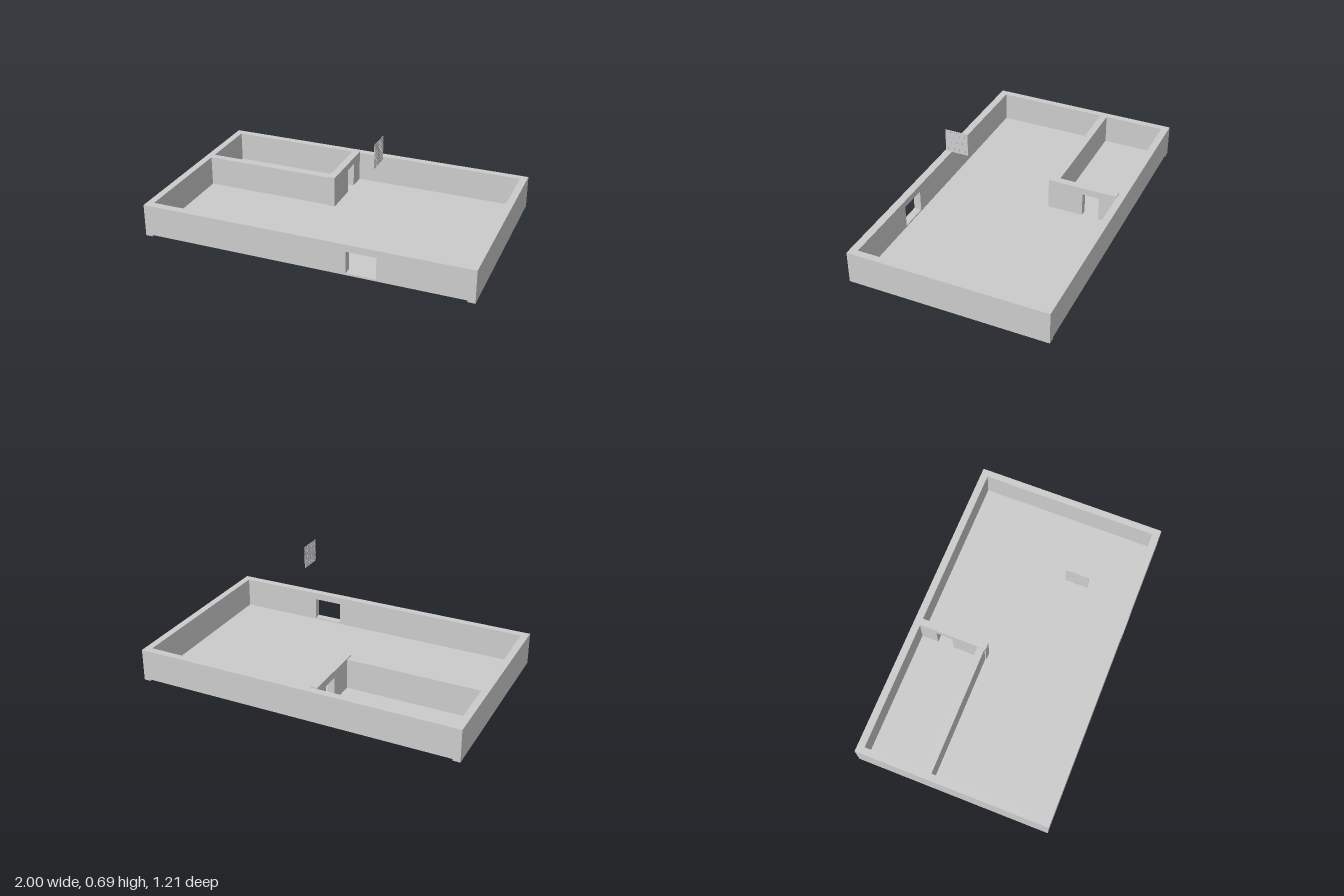
import * as THREE from 'three';

const material = new THREE.MeshStandardMaterial({ color: 0xcccccc, flatShading: true });

// Box given by its min and max corners
function block(name, [x0, y0, z0], [x1, y1, z1]) {
  const geometry = new THREE.BoxGeometry(x1 - x0, y1 - y0, z1 - z0);
  geometry.translate((x0 + x1) / 2, (y0 + y1) / 2, (z0 + z1) / 2);
  const mesh = new THREE.Mesh(geometry, material);
  mesh.name = name;
  return mesh;
}

// Wall drawn as a length/height outline with one rectangular opening, extruded by its thickness
function wallWithOpening(name, [u0, v0, u1, v1], [a0, b0, a1, b1], thickness) {
  const shape = new THREE.Shape();
  if (b0 <= v0) {
    // Doorway: the opening reaches the floor
    [[u0, v0], [a0, v0], [a0, b1], [a1, b1], [a1, v0], [u1, v0], [u1, v1], [u0, v1]]
      .forEach(([u, v], i) => (i ? shape.lineTo(u, v) : shape.moveTo(u, v)));
    shape.closePath();
  } else {
    shape.moveTo(u0, v0).lineTo(u1, v0).lineTo(u1, v1).lineTo(u0, v1).closePath();
    shape.holes.push(new THREE.Path().moveTo(a0, b0).lineTo(a0, b1).lineTo(a1, b1).lineTo(a1, b0).closePath());
  }
  const geometry = new THREE.ExtrudeGeometry(shape, { depth: thickness, bevelEnabled: false });
  const mesh = new THREE.Mesh(geometry, material);
  mesh.name = name;
  return mesh;
}

// Small upright panel of staggered bricks
function brickPanel() {
  const panel = new THREE.Group();
  panel.name = 'brickPanel';
  const size = 0.14, rows = 9, columns = 4, gap = 0.003;
  const rowHeight = size / rows, length = size / columns;
  panel.add(block('mortar', [-0.0005, 0, 0], [0.0005, size, size]));
  for (let r = 0; r < rows; r++) {
    const shift = r % 2 ? -length / 2 : 0;
    for (let c = 0; c <= columns; c++) {
      const z0 = Math.max(0, c * length + shift);
      const z1 = Math.min(size, (c + 1) * length + shift - gap);
      if (z1 - z0 < 0.004) continue;
      panel.add(block('brick', [-0.002, r * rowHeight, z0], [0.002, (r + 1) * rowHeight - gap, z1]));
    }
  }
  panel.position.set(0.325, 0.545, 0.19);
  return panel;
}

export function createModel() {
  const model = new THREE.Group();
  model.name = 'walledFloorPlan';
  const base = 0.01, top = 0.2, back = -0.607, front = 0.605, inner = 0.957;

  model.add(block('floor', [-inner, base, back + 0.045], [inner, base + 0.003, front - 0.047]));

  // Outer walls
  for (const side of [-1, 1]) {
    const xs = [side * inner, side].sort((a, b) => a - b);
    model.add(block(side < 0 ? 'rightWall' : 'leftWall', [xs[0], 0, back], [xs[1], top, front]));
  }
  model.add(block('backWall', [-inner, base, back], [inner, top, back + 0.045]));
  const frontWall = wallWithOpening('frontWall', [-inner, base, inner, top], [0.268, 0.022, 0.445, 0.157], 0.047);
  frontWall.position.z = front - 0.047;
  model.add(frontWall);

  // Inner room: long partition and the slightly taller one with a doorway
  model.add(block('longPartition', [-inner, base, -0.183], [-0.14, top, -0.138]));
  const doorWall = wallWithOpening('doorPartition', [0.13, base, 0.562, 0.208], [0.35, base, 0.455, 0.165], 0.045);
  doorWall.rotation.y = Math.PI / 2;
  doorWall.position.x = -0.142;
  model.add(doorWall);

  model.add(brickPanel());
  return model;
}
